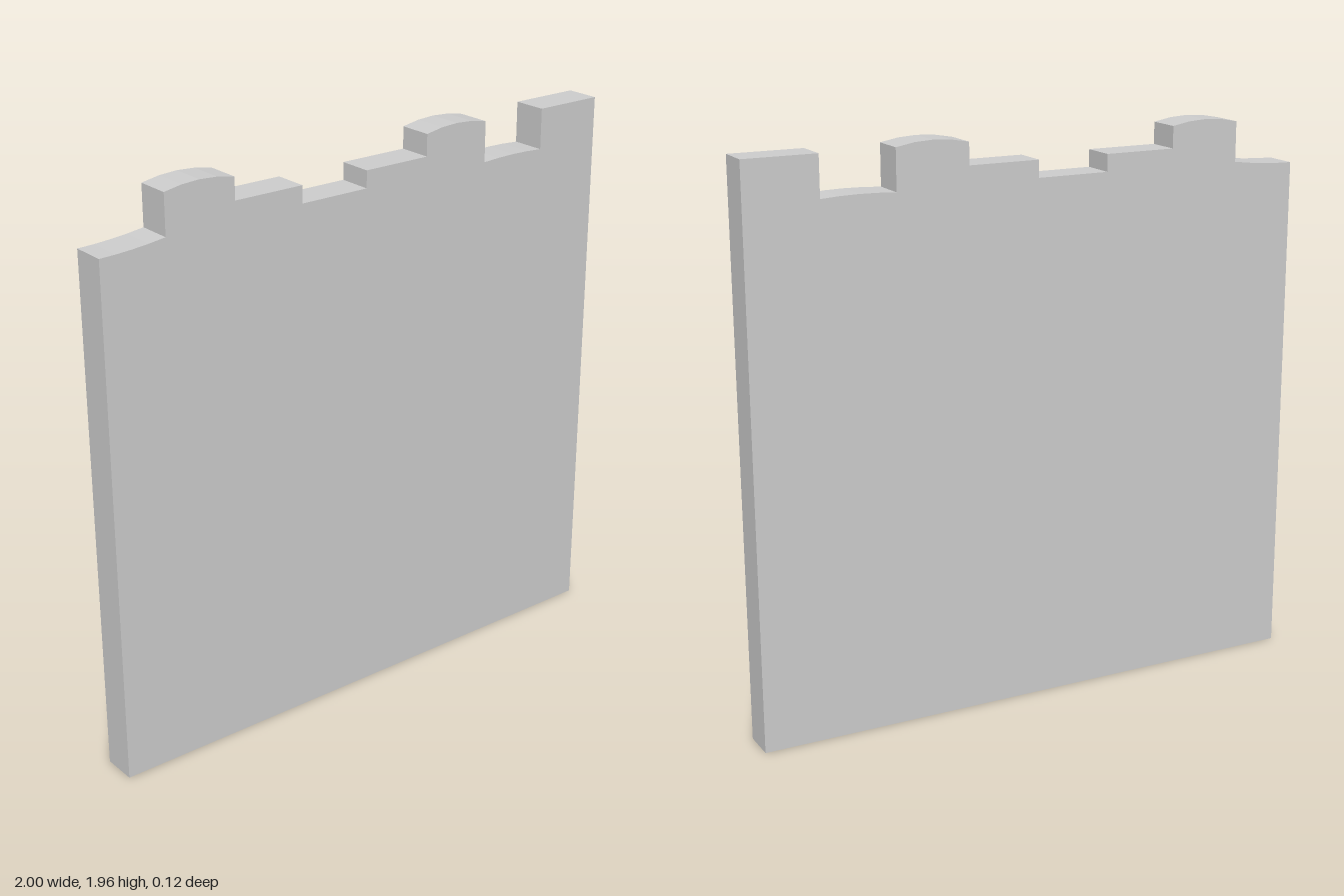
import * as THREE from 'three';

const DEPTH = 0.12;

// Stepped top edge, left to right: [x start, x end, y start, y middle, y end]
const STEPS = [
  [-1, -0.77, 1.785, 1.79, 1.803],
  [-0.77, -0.518, 1.941, 1.956, 1.941],
  [-0.518, -0.265, 1.866, 1.866, 1.866],
  [-0.265, -0.01, 1.807, 1.807, 1.807],
  [-0.01, 0.24, 1.866, 1.866, 1.866],
  [0.24, 0.493, 1.941, 1.956, 1.941],
  [0.493, 0.748, 1.801, 1.806, 1.801],
  [0.748, 1, 1.941, 1.941, 1.941],
];

export function createModel() {
  const group = new THREE.Group();
  group.name = 'battlementWall';

  // Wall outline: straight base and sides, then the notched and arched top
  const outline = new THREE.Shape();
  outline.moveTo(1, 0);
  outline.lineTo(-1, 0);
  for (const [x0, x1, y0, yMid, y1] of STEPS) {
    outline.lineTo(x0, y0);
    if (yMid === y0 && yMid === y1) outline.lineTo(x1, y1);
    else outline.quadraticCurveTo((x0 + x1) / 2, 2 * yMid - (y0 + y1) / 2, x1, y1);
  }
  outline.closePath();

  const geometry = new THREE.ExtrudeGeometry(outline, {
    depth: DEPTH,
    bevelEnabled: false,
    curveSegments: 4,
  });
  geometry.translate(0, 0, -DEPTH / 2);

  const wall = new THREE.Mesh(
    geometry,
    new THREE.MeshStandardMaterial({ color: 0xcccccc, flatShading: true })
  );
  wall.name = 'wallPanel';
  group.add(wall);
  return group;
}
